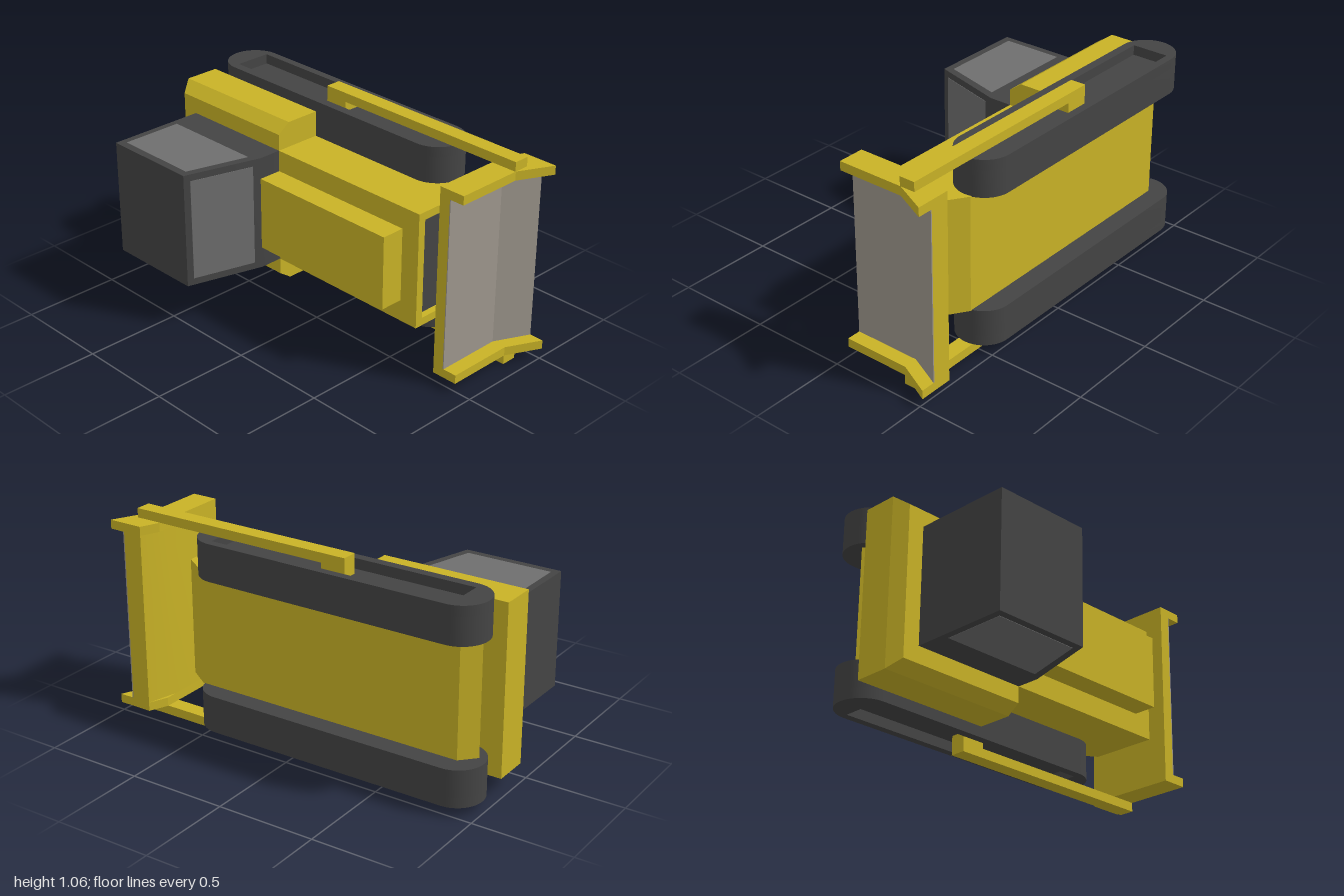
import * as THREE from 'three';
import { toCreasedNormals } from 'three/addons/utils/BufferGeometryUtils.js';

const yellow = new THREE.MeshStandardMaterial({ color: 0xc8b226 });
const dark = new THREE.MeshStandardMaterial({ color: 0x444444 });
const glass = new THREE.MeshStandardMaterial({ color: 0x6e6e6e });
const steel = new THREE.MeshStandardMaterial({ color: 0x9d968c });
const MID = 0.528; // the machine lies on its side, mirrored about this height

export function createModel() {
  const group = new THREE.Group();

  const add = (name, geometry, material) => {
    const mesh = new THREE.Mesh(geometry, material);
    mesh.name = name;
    group.add(mesh);
    return mesh;
  };

  // Box given by its limits on each axis
  const block = (name, [x0, x1], [y0, y1], [z0, z1], material) => {
    const g = new THREE.BoxGeometry(x1 - x0, y1 - y0, z1 - z0);
    g.translate((x0 + x1) / 2, (y0 + y1) / 2, (z0 + z1) / 2);
    return add(name, g, material);
  };

  // Outline of [x, z] points, extruded along y
  const outline = (pts) => new THREE.Shape(pts.map(([x, z]) => new THREE.Vector2(x, -z)));
  const slab = (name, shape, y0, y1, material) => {
    const s = Array.isArray(shape) ? outline(shape) : shape;
    const g = new THREE.ExtrudeGeometry(s, { depth: y1 - y0, bevelEnabled: false, curveSegments: 16 });
    g.rotateX(-Math.PI / 2).translate(0, y0, 0);
    return add(name, toCreasedNormals(g, 0.3), material);
  };

  // Calls a builder for both sides; span() mirrors a height range to the upper side
  const bothSides = (build) => {
    build('right', (a, b) => [a, b]);
    build('left', (a, b) => [2 * MID - b, 2 * MID - a]);
  };

  // Hull and hood with bevelled belly
  slab('hull', [[-0.85, -0.24], [-0.94, -0.34], [-0.87, -0.415], [0.55, -0.415], [0.663, -0.34],
    [0.623, -0.335], [0.623, 0.006], [-0.255, 0.006], [-0.255, -0.24]], 0.232, 0.825, yellow);
  block('hoodCover', [-0.255, 0.563], [0.341, 0.716], [0, 0.127], yellow);

  // Radiator: raised frame around a dark grille
  block('grille', [0.61, 0.628], [0.27, 0.79], [-0.305, -0.03], dark);
  for (const y of [0.232, 0.785]) block('grilleFrameSide', [0.623, 0.663], [y, y + 0.04], [-0.34, 0.006], yellow);
  for (const z of [-0.34, -0.034]) block('grilleFrameRail', [0.623, 0.663], [0.272, 0.785], [z, z + 0.04], yellow);

  // Rear deck with chamfered top edges
  block('rearDeck', [-1, -0.255], [0.102, 0.955], [-0.24, -0.06], yellow);
  const deckTop = block('rearDeckTop', [-1, -0.255], [0.102, 0.955], [-0.06, 0.006], yellow).geometry;
  const p = deckTop.attributes.position;
  for (let i = 0; i < p.count; i++) {
    if (p.getZ(i) < -0.03) continue;
    p.setY(i, p.getY(i) > MID ? 0.908 : 0.148);
    if (p.getX(i) < -0.6) p.setX(i, -0.955);
  }
  deckTop.computeVertexNormals();

  // Cab with sloping windscreen
  slab('cab', [[-0.87, 0], [-0.87, 0.513], [-0.363, 0.513], [-0.255, 0.125], [-0.255, 0]], 0.232, 0.825, dark);
  slab('windscreen', [[-0.27, 0.165], [-0.358, 0.48], [-0.352, 0.481], [-0.264, 0.166]], 0.268, 0.79, glass);

  // Rounded track outline
  const track = () => {
    const s = new THREE.Shape();
    s.absarc(0.41, 0.3775, 0.1375, -Math.PI / 2, Math.PI / 2, false);
    s.absarc(-0.8475, 0.3775, 0.1375, Math.PI / 2, Math.PI * 1.5, false);
    s.closePath();
    return s;
  };
  const rim = track();
  rim.holes.push(outline([[-0.865, -0.475], [-0.865, -0.285], [0.422, -0.285], [0.422, -0.475]]));

  const bladeEnd = [[0.78, 0.006], [0.915, 0.006], [0.915, -0.34], [1, -0.515], [0.82, -0.515], [0.78, -0.42]];

  bothSides((side, span) => {
    slab(side + 'Window', [[-0.835, 0.16], [-0.835, 0.475], [-0.39, 0.475], [-0.305, 0.16]],
      ...span(0.23, 0.235), glass);
    // Track with a recessed outer face
    slab(side + 'Track', track(), ...span(0.098, 0.234), dark);
    slab(side + 'TrackRim', rim, ...span(0.047, 0.098), dark);
    // Push arm and the pivot reaching into the track recess
    block(side + 'PushArm', [-0.275, 0.915], span(0, 0.047), [-0.417, -0.337], yellow);
    block(side + 'ArmPivot', [-0.275, -0.15], span(0.047, 0.098), [-0.417, -0.337], yellow);
    slab(side + 'BladeEnd', bladeEnd, ...span(0.047, 0.092), yellow);
  });

  // Blade with a steel face, folded forward at the lower edge
  slab('bladeBack', [[0.78, 0.006], [0.837, 0.006], [0.837, -0.34], [0.92, -0.515], [0.82, -0.515], [0.78, -0.355]],
    0.092, 0.964, yellow);
  slab('bladeFace', [[0.837, 0.006], [0.842, 0.006], [0.842, -0.339], [0.926, -0.515], [0.92, -0.515], [0.837, -0.34]],
    0.092, 0.964, steel);

  return group;
}
